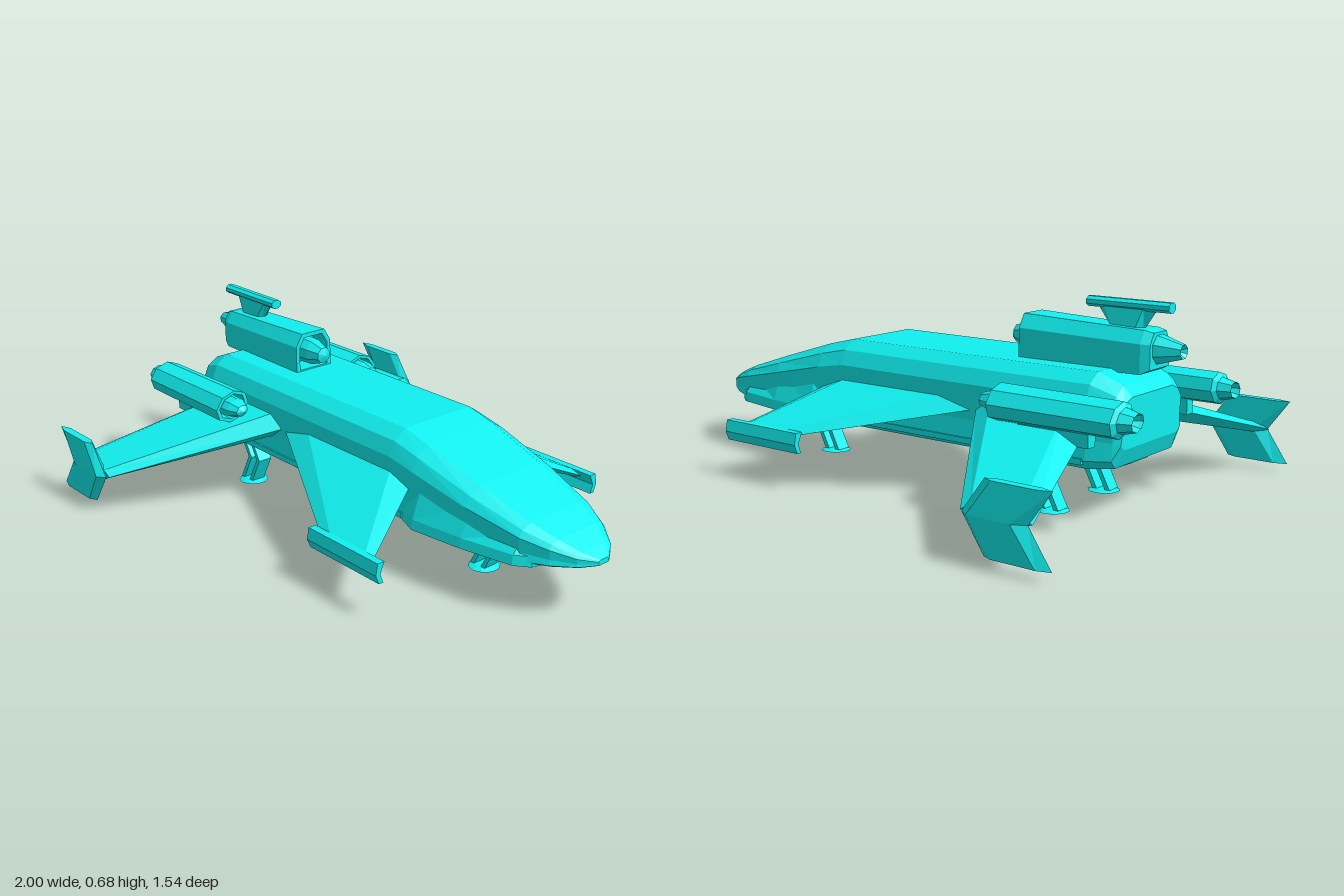
import * as THREE from 'three';

const material = new THREE.MeshStandardMaterial({ color: 0x11f0f0, flatShading: true, side: THREE.DoubleSide });

function addMesh(parent, name, geometry) {
  const mesh = new THREE.Mesh(geometry, material);
  mesh.name = name;
  parent.add(mesh);
  return mesh;
}

// Skin a row of closed rings ([x, y, z] points) and cap both ends, faces outward
function loft(rings) {
  const n = rings[0].length;
  const tris = [];
  const V = (p) => new THREE.Vector3(...p);
  const centre = (r) => r.reduce((s, p) => s.add(V(p)), new THREE.Vector3()).divideScalar(n);
  const first = rings[0], last = rings[rings.length - 1];
  for (let j = 0; j < n; j++) {
    const k = (j + 1) % n;
    for (let i = 0; i < rings.length - 1; i++) {
      const a = V(rings[i][j]), b = V(rings[i][k]), c = V(rings[i + 1][k]), d = V(rings[i + 1][j]);
      tris.push([a, b, c], [a, c, d]);
    }
    tris.push([centre(first), V(first[k]), V(first[j])]);
    tris.push([centre(last), V(last[j]), V(last[k])]);
  }
  let volume = 0;
  for (const [a, b, c] of tris) volume += a.dot(b.clone().cross(c));
  const points = tris.flatMap(([a, b, c]) => (volume < 0 ? [a, c, b] : [a, b, c]));
  const geometry = new THREE.BufferGeometry().setFromPoints(points);
  geometry.computeVertexNormals();
  return geometry;
}

// Six-sided blade section between trailing x0 and leading x1, as [x, thickness offset]
function blade(x0, x1, t) {
  const c = x1 - x0;
  return [[x1, 0], [x1 - 0.14 * c, t / 2], [x0 + 0.2 * c, t / 2],
    [x0, 0], [x0 + 0.2 * c, -t / 2], [x1 - 0.14 * c, -t / 2]];
}
const flatBlade = (x0, x1, y, z, t) => blade(x0, x1, t).map(([x, o]) => [x, y + o, z]);
const uprightBlade = (x0, x1, y, z, t) => blade(x0, x1, t).map(([x, o]) => [x, y, z + o]);

// Faceted body of revolution along x, profile given as [x, radius]
function turned(profile, sides = 8) {
  const g = new THREE.LatheGeometry(profile.map(([x, r]) => new THREE.Vector2(r, x)), sides);
  return g.rotateZ(-Math.PI / 2).rotateX(Math.PI / 8);
}

function box(x0, x1, y0, y1, z0, z1) {
  return new THREE.BoxGeometry(x1 - x0, y1 - y0, Math.abs(z1 - z0))
    .translate((x0 + x1) / 2, (y0 + y1) / 2, (z0 + z1) / 2);
}

// Two bent parallel struts standing on a round foot
function landingLeg(parent, name, x, z, top) {
  const leg = new THREE.Group();
  leg.name = name;
  for (const dx of [-0.025, 0.025]) {
    const path = [[x - 0.02, top], [x + 0.035, 0.105], [x - 0.015, 0.008]];
    const rings = path.map(([px, y]) => [[-1, -1], [1, -1], [1, 1], [-1, 1]]
      .map(([a, b]) => [px + dx + a * 0.009, y, z + b * 0.028]));
    addMesh(leg, 'strut', loft(rings));
  }
  addMesh(leg, 'foot', new THREE.CylinderGeometry(0.035, 0.056, 0.008, 10).translate(x - 0.01, 0.004, z));
  parent.add(leg);
}

export function createModel() {
  const model = new THREE.Group();
  model.name = 'spacecraft';

  // Fuselage: one half section [width, height] swept through stations [x, bottom, top, half width]
  const half = [[0.68, 1], [0.9, 0.89], [1, 0.72], [0.97, 0.32], [1, 0.1], [0.88, 0]];
  const section = [...half, ...half.map(([w, h]) => [-w, h]).reverse()];
  const stations = [
    [-0.87, 0.24, 0.4, 0.185], [-0.845, 0.18, 0.435, 0.2], [-0.76, 0.168, 0.47, 0.218],
    [0.26, 0.168, 0.47, 0.22], [0.37, 0.168, 0.443, 0.22], [0.6, 0.172, 0.372, 0.205],
    [0.8, 0.182, 0.308, 0.17], [0.89, 0.19, 0.275, 0.13], [0.96, 0.198, 0.243, 0.08], [1, 0.204, 0.222, 0.025],
  ];
  addMesh(model, 'fuselage', loft(stations.map(([x, lo, hi, w]) =>
    section.map(([u, v]) => [x, lo + v * (hi - lo), u * w]))));

  // Shallow keel under the belly
  const keel = [[-0.83, 0.17, 0.05], [-0.78, 0.148, 0.07], [0.4, 0.148, 0.07], [0.75, 0.172, 0.05]];
  addMesh(model, 'keel', loft(keel.map(([x, y, w]) =>
    [[x, 0.19, w * 1.8], [x, y, w], [x, y, -w], [x, 0.19, -w * 1.8]])));

  for (const s of [1, -1]) {
    const side = s > 0 ? 'left' : 'right';

    // Bulged cheek beside the nose
    const cheeks = [[0.3, 0.212, 0.3], [0.4, 0.25, 0.34], [0.6, 0.226, 0.32], [0.79, 0.187, 0.27], [0.84, 0.15, 0.24]];
    addMesh(model, side + 'Cheek', loft(cheeks.map(([x, z, y]) => [
      [x, 0.172, s * (z - 0.05)], [x, 0.18, s * z], [x, 0.215, s * (z - 0.005)],
      [x, y, s * (z - 0.05)], [x, y, s * (z - 0.12)], [x, 0.19, s * (z - 0.12)]])));

    addMesh(model, side + 'SideRail', box(-0.75, 0.32, 0.185, 0.205, s * 0.2, s * 0.224));

    // Forward-pointing front wing with its tip plate
    addMesh(model, side + 'FrontWing', loft([
      flatBlade(-0.34, 0.34, 0.305, s * 0.2, 0.07), flatBlade(0.24, 0.49, 0.18, s * 0.5, 0.026)]));
    addMesh(model, side + 'FrontTipPlate', loft([0.195, 0.535].map((x) => [
      [x, 0.2, s * 0.487], [x, 0.2, s * 0.515], [x, 0.16, s * 0.523],
      [x, 0.128, s * 0.51], [x, 0.128, s * 0.492], [x, 0.16, s * 0.505]])));

    // Swept rear wing
    addMesh(model, side + 'RearWing', loft([
      flatBlade(-0.76, -0.32, 0.31, s * 0.19, 0.09), flatBlade(-0.93, -0.68, 0.152, s * 0.74, 0.036)]));

    // Notched fin across the rear wing tip
    addMesh(model, side + 'TipFin', loft([
      uprightBlade(-1, -0.77, 0.26, s * 0.747, 0.03), uprightBlade(-0.92, -0.69, 0.15, s * 0.747, 0.046),
      uprightBlade(-1, -0.77, 0.033, s * 0.747, 0.03)]));

    // Wing engine: hollow intake with spinner, narrower tail nozzle
    const engine = new THREE.Group();
    engine.name = side + 'Engine';
    addMesh(engine, 'housing', turned([[-0.93, 0], [-0.99, 0.032], [-1, 0.036], [-0.955, 0.05],
      [-0.945, 0.07], [-0.5, 0.073], [-0.5, 0.058], [-0.56, 0.055], [-0.56, 0]]));
    addMesh(engine, 'spinner', turned([[-0.56, 0.045], [-0.48, 0.042], [-0.44, 0.026], [-0.425, 0]]));
    engine.scale.y = 0.78;
    const mount = new THREE.Group();
    mount.name = side + 'EngineMount';
    mount.add(engine);
    mount.rotation.x = s * 0.3;
    mount.position.set(0, 0.37, s * 0.312);
    model.add(mount);
    addMesh(model, side + 'EnginePylon', box(-0.84, -0.58, 0.27, 0.35, s * 0.285, s * 0.325));

    landingLeg(model, side + 'RearLeg', -0.595, s * 0.155, 0.2);
  }

  // Top engine: horseshoe housing with a recessed intake
  const arch = [[0.08, 0], [0.08, 0.7], [0.052, 1], [-0.052, 1], [-0.08, 0.7], [-0.08, 0]];
  const housing = [[-0.89, 0.475, 0.59, 0.75], [-0.86, 0.46, 0.597, 0.88], [-0.41, 0.46, 0.612, 1],
    [-0.41, 0.475, 0.597, 0.8], [-0.49, 0.475, 0.595, 0.78]];
  addMesh(model, 'topEngine', loft(housing.map(([x, lo, hi, w]) =>
    arch.map(([z, v]) => [x, lo + v * (hi - lo), z * w]))));
  addMesh(model, 'topSpinner', turned([[-0.49, 0.05], [-0.4, 0.047], [-0.35, 0.03], [-0.34, 0]])
    .translate(0, 0.535, 0));
  addMesh(model, 'topNozzle', turned([[-0.88, 0.052], [-0.905, 0.045], [-0.975, 0.024], [-0.95, 0]])
    .translate(0, 0.535, 0));

  // Stabilizer above the top engine
  addMesh(model, 'stabilizerStrut', loft([
    uprightBlade(-0.83, -0.72, 0.585, 0, 0.05), uprightBlade(-0.88, -0.66, 0.66, 0, 0.03)]));
  addMesh(model, 'stabilizerBar', turned([[-0.93, 0], [-0.93, 0.021], [-0.63, 0.021], [-0.63, 0]])
    .scale(1, 0.85, 1.1).translate(0, 0.667, 0));

  landingLeg(model, 'frontLeg', 0.505, 0, 0.17);
  return model;
}
